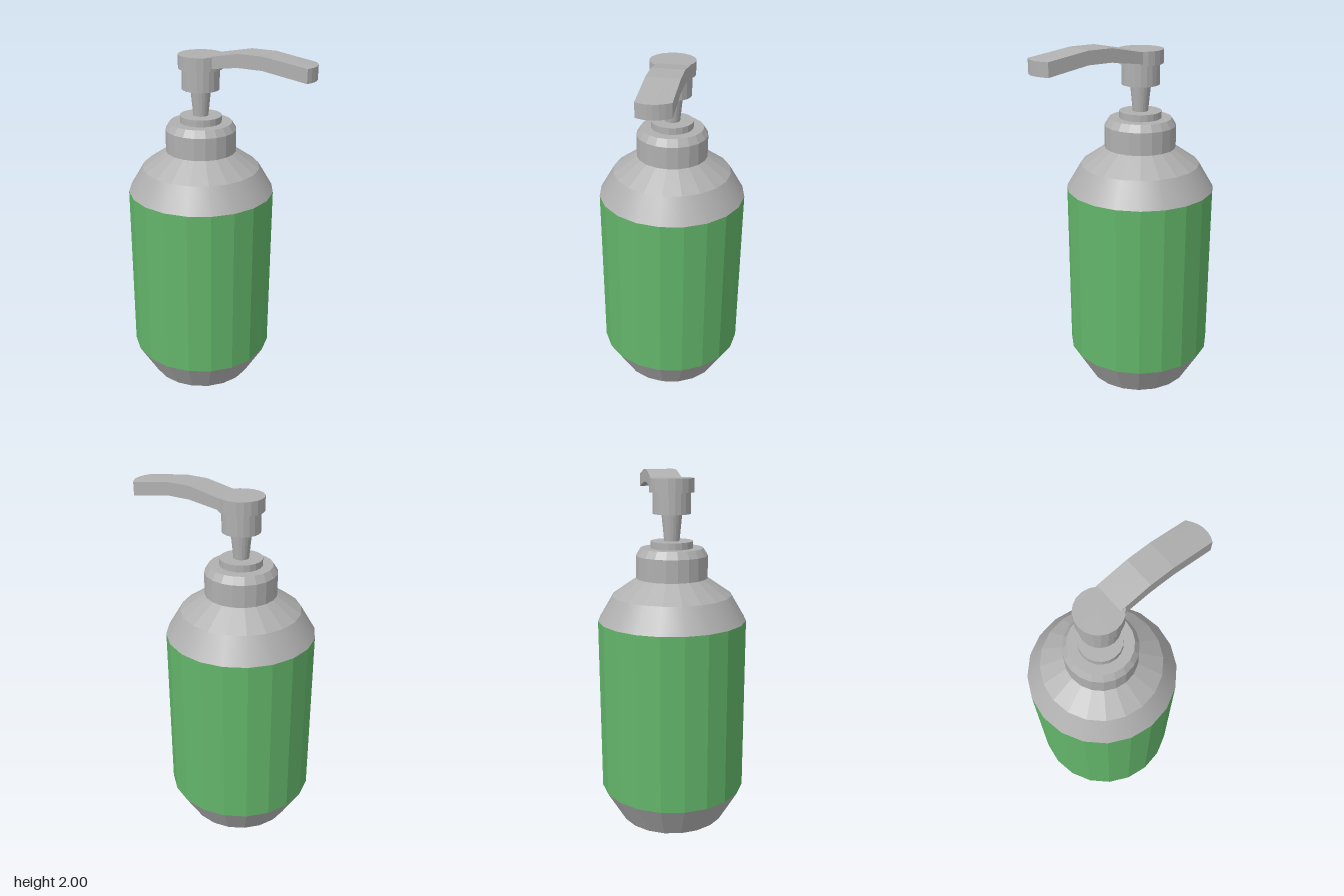
import * as THREE from 'three';

const SIDES = 20;
const AXIS_Z = -0.087;

// Faceted copy of a geometry
function faceted(geometry) {
  const g = geometry.toNonIndexed();
  g.computeVertexNormals();
  return g;
}

// Turned part from [radius, height] pairs, listed bottom to top
function turned(name, profile, material, smooth = false) {
  const points = profile.map(([r, y]) => new THREE.Vector2(r, y));
  const lathe = new THREE.LatheGeometry(points, SIDES, THREE.MathUtils.degToRad(-4.5));
  const mesh = new THREE.Mesh(smooth ? lathe : faceted(lathe), material);
  mesh.name = name;
  return mesh;
}

// Bent bar with a rounded tip; local x runs outward, local z across the width
function makeSpout(material) {
  const start = 0.06, end = 0.64;
  const profile = new THREE.Shape([
    [start, 1.9], [0.255, 1.928], [0.395, 1.928], [end, 1.89],
    [end, 1.965], [0.395, 2.0], [0.255, 2.0], [start, 1.962],
  ].map(([x, y]) => new THREE.Vector2(x, y)));
  const g = new THREE.ExtrudeGeometry(profile, { depth: 0.172, steps: 6, bevelEnabled: false });
  g.translate(0, 0, -0.106);
  // Curve the tip
  const p = g.attributes.position;
  for (let i = 0; i < p.count; i++) {
    if (p.getX(i) > end - 0.01) p.setX(i, 0.662 - 4 * (p.getZ(i) + 0.005) ** 2);
  }
  g.computeVertexNormals();
  const mesh = new THREE.Mesh(g, material);
  mesh.name = 'spout';
  mesh.rotation.y = THREE.MathUtils.degToRad(-59.3);
  return mesh;
}

export function createModel() {
  const grey = new THREE.MeshStandardMaterial({ color: 0xb0b0b0 });
  grey.name = 'grey plastic';
  const green = new THREE.MeshStandardMaterial({ color: 0x63b56a });
  green.name = 'green label';

  const bottle = new THREE.Group();
  bottle.name = 'bottle';
  bottle.add(
    turned('base', [[0, 0], [0.308, 0], [0.418, 0.19]], grey),
    turned('body', [[0.418, 0.19], [0.418, 1.19]], green),
    turned('lowerShoulder', [[0.418, 1.19], [0.335, 1.33]], grey, true),
    turned('upperShoulder', [[0.335, 1.33], [0.19, 1.43]], grey),
  );

  const pump = new THREE.Group();
  pump.name = 'pump';
  pump.add(
    turned('collar', [[0, 1.425], [0.2, 1.425], [0.2, 1.55], [0.175, 1.59], [0, 1.59]], grey),
    turned('collarRing', [[0.118, 1.585], [0.118, 1.628], [0, 1.628]], grey),
    turned('stem', [[0.042, 1.62], [0.058, 1.78]], grey),
    turned('headNeck', [[0, 1.775], [0.105, 1.775], [0.105, 1.895]], grey),
    turned('headCap', [[0, 1.89], [0.124, 1.89], [0.124, 1.965], [0, 1.965]], grey),
    makeSpout(grey),
  );

  const model = new THREE.Group();
  model.name = 'soapDispenser';
  model.add(bottle, pump);
  model.children.forEach((part) => { part.position.z = AXIS_Z; });
  return model;
}
